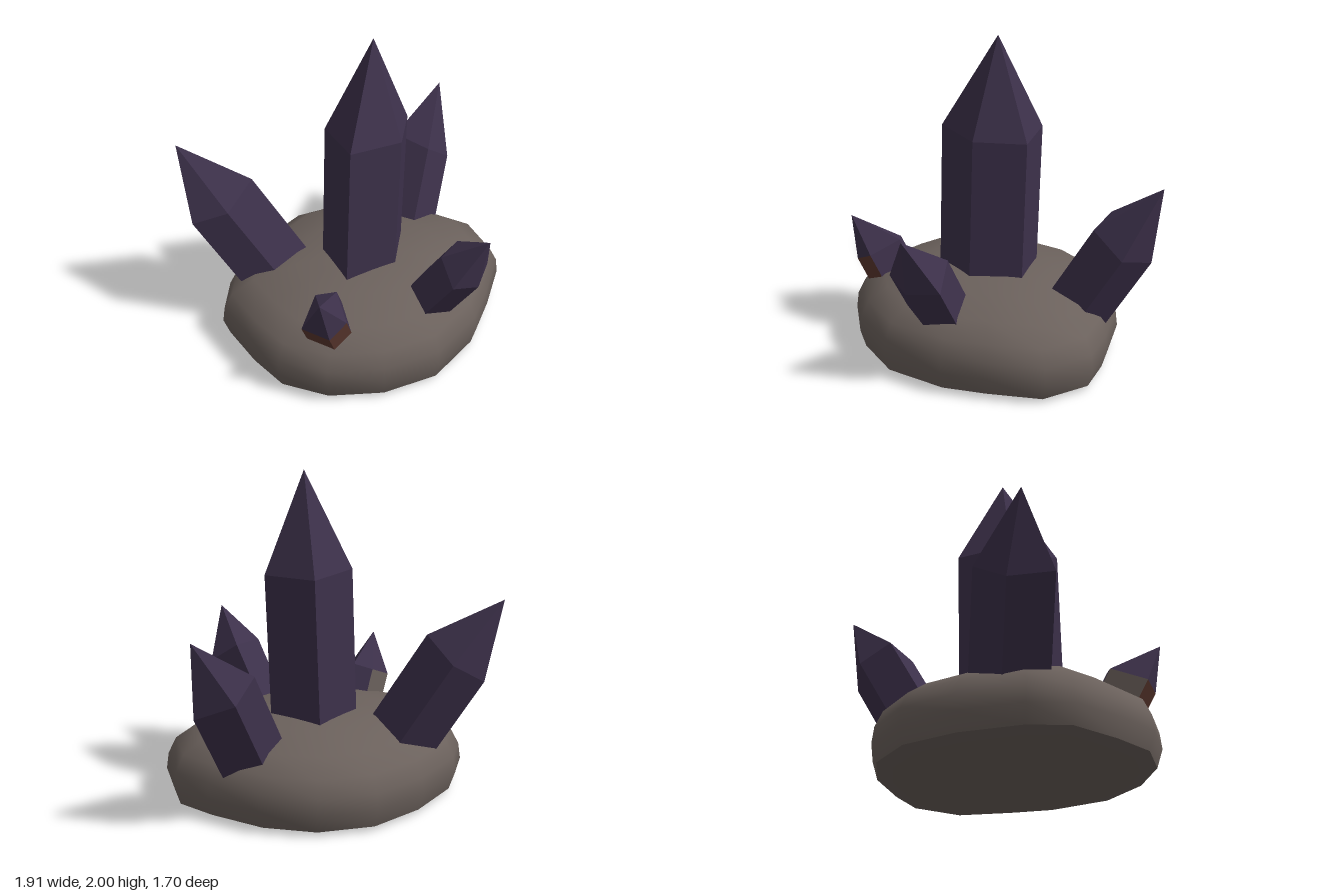
import * as THREE from 'three';

const stone = new THREE.MeshStandardMaterial({ color: 0x6b615c });
stone.name = 'stone';
const violet = new THREE.MeshStandardMaterial({ color: 0x3d314b, flatShading: true });
violet.name = 'dark violet crystal';
const rust = new THREE.MeshStandardMaterial({ color: 0x5c382e, flatShading: true });
rust.name = 'rust brown';

// Widest outline of the boulder as [x, z], counter-clockwise from above
const outline = [
  [0.91, -0.04], [0.79, -0.28], [0.58, -0.58], [0.31, -0.78], [-0.04, -0.85], [-0.4, -0.75],
  [-0.74, -0.55], [-0.9, -0.35], [-0.91, -0.02], [-0.88, 0.27], [-0.7, 0.53], [-0.4, 0.71],
  [-0.04, 0.78], [0.35, 0.66], [0.58, 0.5], [0.85, 0.28],
];

// Skins scaled copies of the outline, each level being [scale, y]
function loft(levels) {
  const n = outline.length, pos = [], idx = [];
  for (const [s, y] of levels) for (const [x, z] of outline) pos.push(x * s, y, z * s);
  for (let i = 0; i < levels.length - 1; i++) {
    for (let j = 0; j < n; j++) {
      const a = i * n + j, b = i * n + (j + 1) % n;
      idx.push(a, b, a + n, b, b + n, a + n);
    }
  }
  const g = new THREE.BufferGeometry();
  g.setAttribute('position', new THREE.Float32BufferAttribute(pos, 3));
  g.setIndex(idx);
  g.computeVertexNormals();
  return g;
}

// Leaning five-sided prism with a point: tip, shoulder ring and the way its sides run down
function crystal(name, tip, ring, down, length, sideMaterials = []) {
  const pos = [], materials = [violet, stoneFacet, rust];
  const g = new THREE.BufferGeometry();
  const foot = ring.map(p => p.map((v, k) => v + down[k] * length));
  ring.forEach((a, i) => {
    const j = (i + 1) % ring.length, b = ring[j];
    pos.push(...a, ...b, ...tip);
    pos.push(...foot[i], ...foot[j], ...a, ...foot[j], ...b, ...a);
    g.addGroup(i * 9, 3, 0);
    g.addGroup(i * 9 + 3, 6, sideMaterials[i] ?? 0);
  });
  g.setAttribute('position', new THREE.Float32BufferAttribute(pos, 3));
  g.computeVertexNormals();
  const mesh = new THREE.Mesh(g, sideMaterials.length ? materials : violet);
  mesh.name = name;
  return mesh;
}
const stoneFacet = stone;

export function createModel() {
  const model = new THREE.Group();
  model.name = 'crystalCluster';

  // Boulder: rounded body and flat underside
  const body = new THREE.Mesh(loft([
    [0.96, 0.03], [1, 0.14], [0.985, 0.24], [0.93, 0.34], [0.78, 0.43], [0.5, 0.5], [0.25, 0.525], [0.001, 0.53],
  ]), stone);
  body.name = 'boulder';
  const underside = new THREE.Mesh(loft([[0.001, 0], [0.8, 0], [0.96, 0.03]]), stone);
  underside.name = 'boulderUnderside';
  model.add(body, underside);

  // Crystals
  model.add(
    crystal('centreCrystal', [0.05, 2, -0.035],
      [[0.31, 1.39, -0.04], [0.12, 1.4, -0.335], [-0.2, 1.41, -0.185], [-0.25, 1.42, 0.155], [0.09, 1.4, 0.195]],
      [-0.04, -1, 0], 1.1),
    crystal('backRightCrystal', [-0.92, 1.27, -0.74],
      [[-0.56, 0.92, -0.775], [-0.8, 0.78, -0.74], [-0.96, 0.82, -0.53], [-0.78, 0.9, -0.4], [-0.56, 1.03, -0.47]],
      [0.49, -1, 0.36], 0.7),
    crystal('backLeftCrystal', [0.955, 1.18, -0.53],
      [[0.86, 0.75, -0.3], [0.93, 0.72, -0.48], [0.73, 0.81, -0.61], [0.57, 0.93, -0.5], [0.66, 0.9, -0.26]],
      [-0.5, -1, 0.32], 0.62),
    crystal('frontCrystal', [0.25, 0.99, 0.845],
      [[0.39, 0.67, 0.68], [0.27, 0.8, 0.53], [0.09, 0.8, 0.6], [0.04, 0.7, 0.78], [0.22, 0.645, 0.8]],
      [-0.24, -1, -0.62], 0.5),
    crystal('smallCrystal', [-0.73, 0.77, 0.525],
      [[-0.54, 0.55, 0.52], [-0.48, 0.63, 0.33], [-0.58, 0.6, 0.25], [-0.76, 0.51, 0.37], [-0.67, 0.49, 0.53]],
      [0.45, -1, -0.3], 0.38, [0, 0, 1, 2, 2]),
  );
  return model;
}
